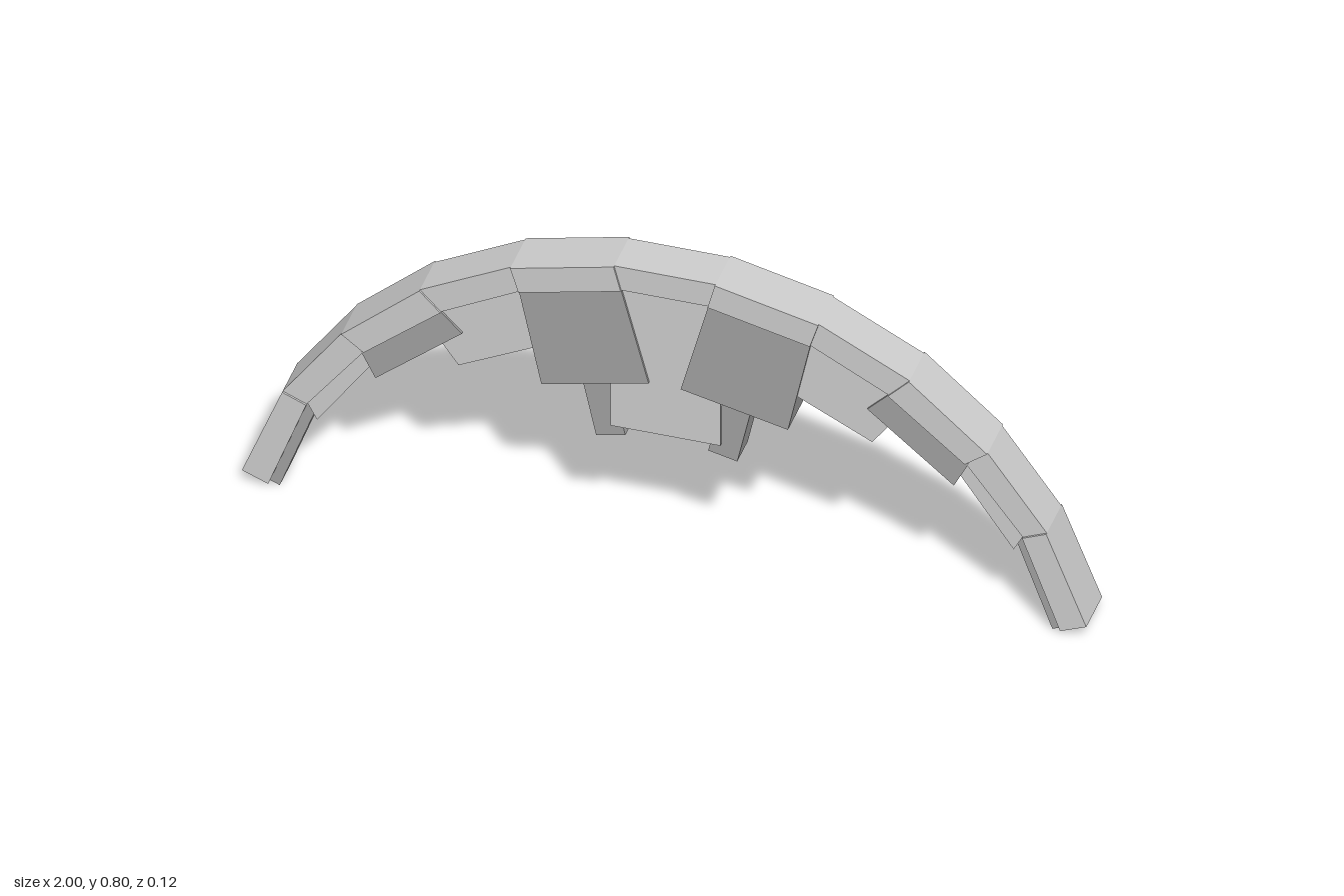
import * as THREE from 'three';

export function createModel() {
  const model = new THREE.Group();
  const lightStone = new THREE.MeshStandardMaterial({ color: 0xcccccc });
  const darkStone = new THREE.MeshStandardMaterial({ color: 0xa0a0a0 });
  lightStone.name = 'lightStone';
  darkStone.name = 'darkStone';

  // Flat-sided block: outline in x/y, extruded evenly to both sides of z = 0
  function addBlock(name, points, halfDepth, material) {
    const shape = new THREE.Shape(points.map(([x, y]) => new THREE.Vector2(x, y)));
    const geometry = new THREE.ExtrudeGeometry(shape, { depth: halfDepth * 2, bevelEnabled: false });
    geometry.translate(0, 0, -halfDepth);
    const mesh = new THREE.Mesh(geometry, material);
    mesh.name = name;
    model.add(mesh);
  }

  function addPair(name, points, halfDepth, material) {
    addBlock(name + 'Left', points, halfDepth, material);
    addBlock(name + 'Right', points.map(([x, y]) => [-x, y]), halfDepth, material);
  }

  // Arch band: straight segments with alternating depth
  const outer = [[0.12, 0.8], [0.365, 0.742], [0.58, 0.631], [0.765, 0.468], [0.905, 0.274], [1, 0.034]];
  const inner = [[0.103, 0.735], [0.345, 0.678], [0.53, 0.58], [0.712, 0.428], [0.848, 0.25], [0.938, 0.009]];
  addBlock('archCrown', [[-0.12, 0.8], [0.12, 0.8], [0.103, 0.735], [-0.103, 0.735]], 0.055, lightStone);
  for (let i = 0; i < 5; i++) {
    const outline = [outer[i], outer[i + 1], inner[i + 1], inner[i]];
    addPair('archSegment' + (i + 1), outline, i % 2 ? 0.055 : 0.06, lightStone);
  }

  // Central hanging block and the small feet beside it
  addBlock('centreBlock', [[-0.13, 0.735], [0.13, 0.735], [0.13, 0.345], [-0.13, 0.345]], 0.05, lightStone);
  addPair('foot', [[0.14, 0.49], [0.205, 0.475], [0.167, 0.302], [0.098, 0.318]], 0.04, darkStone);

  // Blocks hanging under each arch segment
  addPair('largeDarkBlock', [[0.103, 0.735], [0.345, 0.678], [0.292, 0.43], [0.038, 0.488]], 0.056, darkStone);
  addPair('lightBlock', [[0.345, 0.678], [0.58, 0.56], [0.49, 0.435], [0.27, 0.545]], 0.05, lightStone);
  addPair('smallDarkBlock', [[0.53, 0.58], [0.72, 0.428], [0.685, 0.36], [0.48, 0.53]], 0.056, darkStone);

  // Thin liners inside the lower arms
  addPair('lightLiner', [[0.712, 0.428], [0.848, 0.25], [0.825, 0.207], [0.69, 0.4]], 0.05, lightStone);
  addPair('darkLiner', [[0.848, 0.25], [0.938, 0.009], [0.915, 0], [0.826, 0.24]], 0.045, darkStone);

  return model;
}
